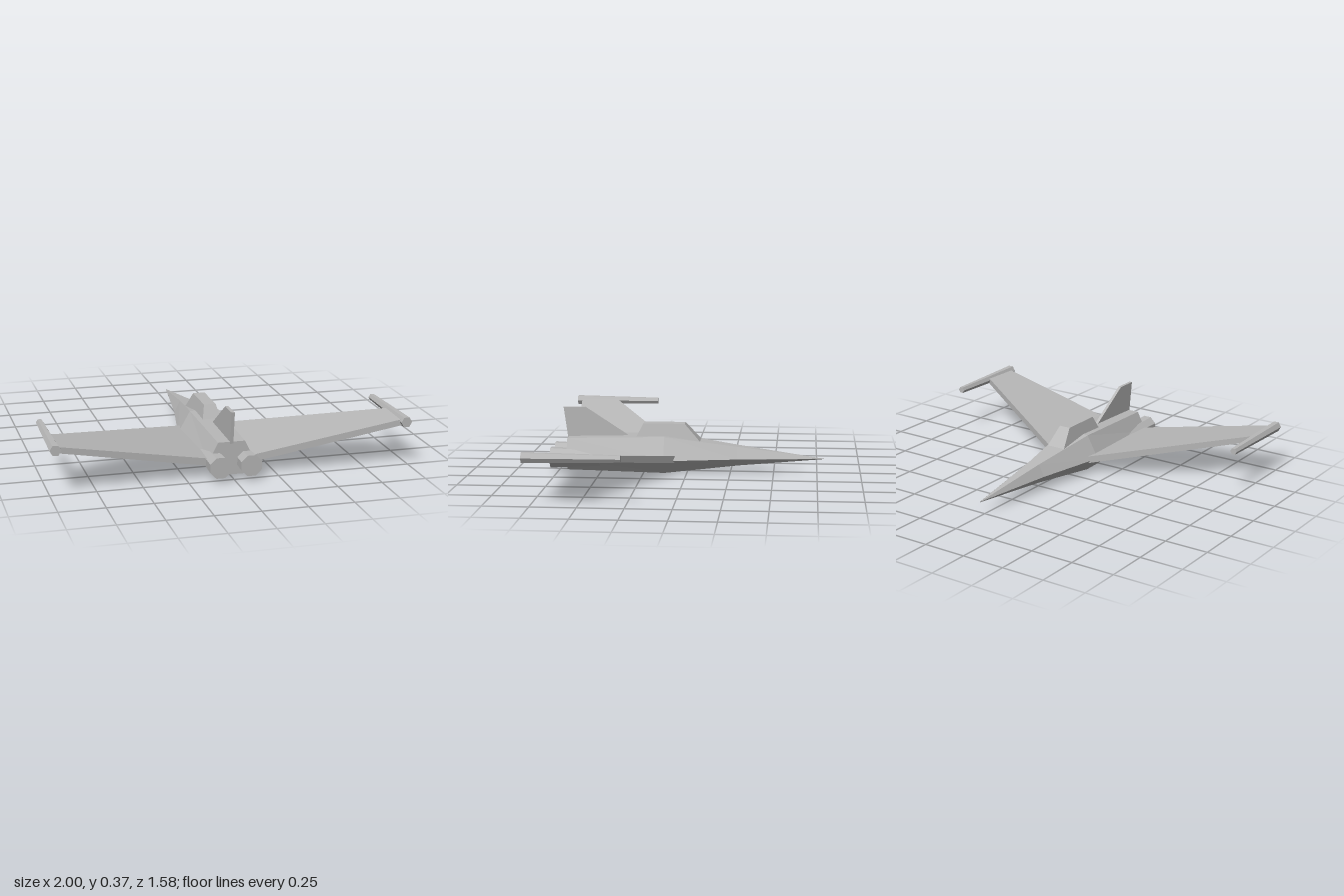
import * as THREE from 'three';

const hull = new THREE.MeshStandardMaterial({ color: 0xb8b8b8, flatShading: true });
hull.name = 'hull grey';

// Flat-faced skin over matching rings, with both ends capped.
// Rings run counter-clockwise when seen from the last ring's end.
function loft(rings) {
  const pos = [];
  const n = rings[0].length;
  const tri = (a, b, c) => pos.push(...a, ...b, ...c);
  for (let j = 0; j < rings.length - 1; j++) {
    const r = rings[j], q = rings[j + 1];
    for (let i = 0; i < n; i++) {
      const k = (i + 1) % n;
      tri(r[i], r[k], q[k]);
      tri(r[i], q[k], q[i]);
    }
  }
  const first = rings[0], last = rings[rings.length - 1];
  for (let i = 1; i < n - 1; i++) {
    tri(last[0], last[i], last[i + 1]);
    tri(first[0], first[i + 1], first[i]);
  }
  const geo = new THREE.BufferGeometry();
  geo.setAttribute('position', new THREE.Float32BufferAttribute(pos, 3));
  geo.computeVertexNormals();
  return geo;
}

// Horizontal four-sided ring for canopy and fin
const slab = (y, z0, z1, w0, w1 = w0) => [[-w0, y, z0], [-w1, y, z1], [w1, y, z1], [w0, y, z0]];

// Upright four-sided ring for the wing at one span position
const rib = (x, y0, y1, z0, z1) => [[x, y0, z0], [x, y1, z0], [x, y1, z1], [x, y0, z1]];

// Tapered prism along z, wider at the rear (+z)
function barrel(rFront, rRear, z0, z1, sides) {
  return new THREE.CylinderGeometry(rRear, rFront, z1 - z0, sides, 1, false, Math.PI / sides)
    .rotateX(Math.PI / 2)
    .translate(0, 0, (z0 + z1) / 2);
}

export function createModel() {
  const group = new THREE.Group();
  const add = (name, geo, x = 0, y = 0) => {
    const mesh = new THREE.Mesh(geo, hull);
    mesh.name = name;
    mesh.position.set(x, y, 0);
    group.add(mesh);
  };

  // Six-sided fuselage: z, half width, flat half width, bottom, top
  const stations = [
    [-0.79, 0.001, 0.0005, 0.084, 0.086],
    [-0.29, 0.07, 0.035, 0.045, 0.155],
    [0.13, 0.155, 0.083, 0.004, 0.215],
    [0.695, 0.132, 0.075, 0.015, 0.2],
  ];
  add('fuselage', loft(stations.map(([z, w, f, b, t]) => [
    [w, 0.087, z], [f, t, z], [-f, t, z], [-w, 0.087, z], [-f, b, z], [f, b, z],
  ])));

  // Canopy and tail fin, with bases sunk into the fuselage
  add('canopy', loft([slab(0.18, -0.08, 0.31, 0.058), slab(0.285, 0.015, 0.255, 0.034)]));
  add('tailFin', loft([slab(0.19, 0.32, 0.70, 0.009), slab(0.372, 0.6, 0.725, 0.009)]));

  // Raised swept wings, wing-tip pods and engines
  for (const s of [1, -1]) {
    const side = s > 0 ? 'left' : 'right';
    const ribs = [
      rib(0.12, 0.07, 0.111, 0.06, 0.683),
      rib(0.96, 0.238, 0.272, 0.54, 0.762),
    ].map((r) => (s > 0 ? r : r.map(([x, y, z]) => [-x, y, z]).reverse()));
    add(side + 'Wing', loft(ribs));
    add(side + 'TipPod', barrel(0.02, 0.031, 0.27, 0.79, 6), s * 0.969, 0.26);
    add(side + 'Engine', barrel(0.048, 0.062, 0.5, 0.79, 8), s * 0.086, 0.088);
  }
  return group;
}
